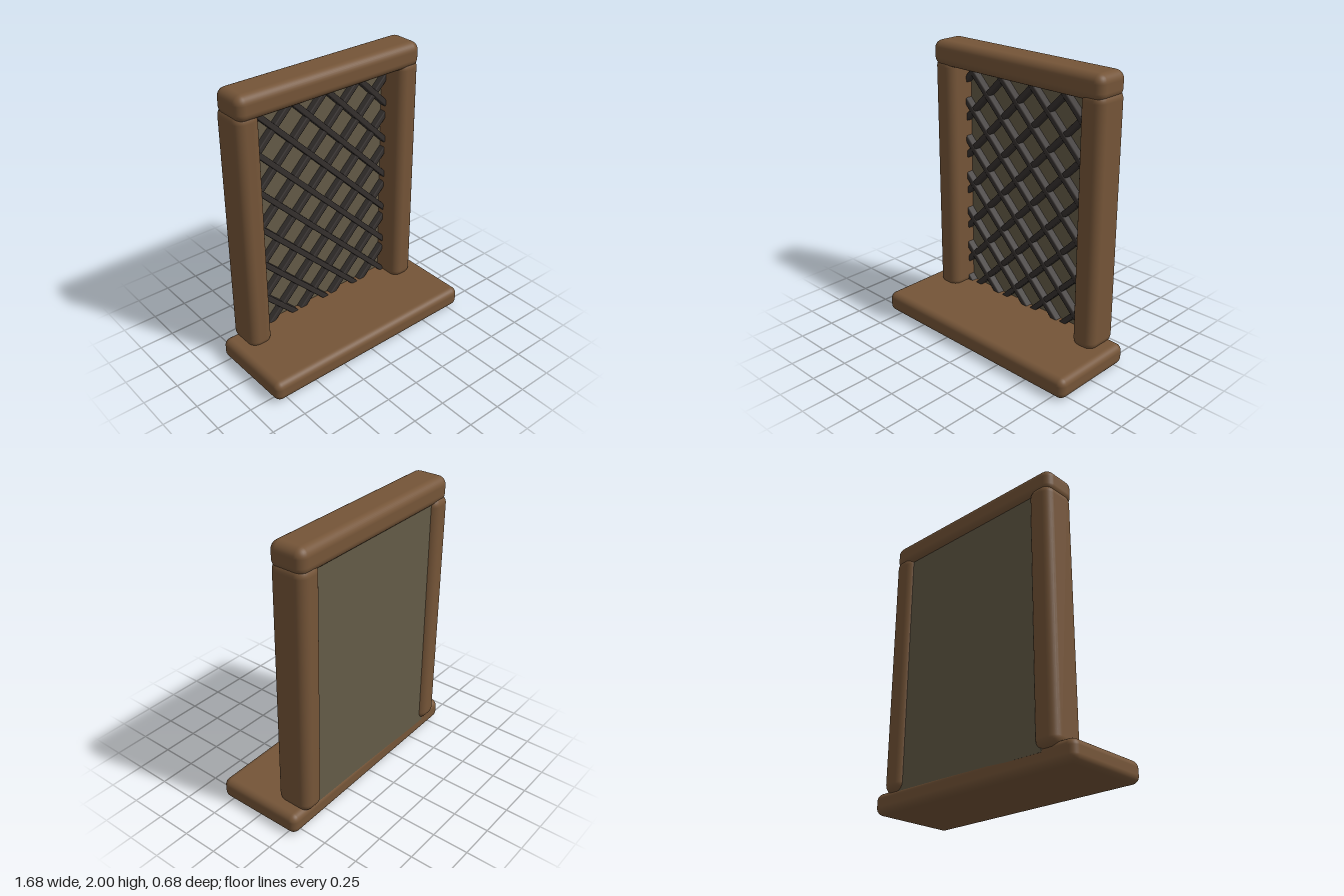
import * as THREE from 'three';
import { RoundedBoxGeometry } from 'three/addons/geometries/RoundedBoxGeometry.js';

const wood = new THREE.MeshStandardMaterial({ color: 0x755538 });
const panelMat = new THREE.MeshStandardMaterial({ color: 0x645b47 });
const latticeMat = new THREE.MeshStandardMaterial({ color: 0x35302e });

function block(name, size, radius, pos, rot, material = wood, segments = 4) {
  const mesh = new THREE.Mesh(new RoundedBoxGeometry(...size, segments, radius), material);
  mesh.name = name;
  mesh.position.set(...pos);
  mesh.rotation.set(...rot);
  return mesh;
}

// Diagonal bars clipped to the opening; slope +1 or -1, y = slope * x + c
function lattice(slope, offset, depth) {
  const group = new THREE.Group();
  group.name = slope > 0 ? 'risingBars' : 'fallingBars';
  const [x0, x1, y0, y1] = [-0.61, 0.6, 0.11, 1.86];
  const pitch = 0.278;
  for (let k = -9; k <= 9; k++) {
    const c = offset + k * pitch;
    const xa = (y0 - c) * slope, xb = (y1 - c) * slope;
    const a = Math.max(x0, Math.min(xa, xb)), b = Math.min(x1, Math.max(xa, xb));
    if (b - a < 0.05) continue;
    const mid = (a + b) / 2;
    group.add(block('latticeBar', [(b - a) * Math.SQRT2, 0.04, depth], 0.009,
      [mid, slope * mid + c, -0.305 + depth / 2], [0, 0, slope * Math.PI / 4], latticeMat, 1));
  }
  return group;
}

export function createModel() {
  const model = new THREE.Group();
  model.name = 'latticeScreen';

  // Slightly crooked wooden frame
  model.add(
    block('base', [1.68, 0.147, 0.64], 0.05, [-0.003, 0.082, 0.009], [0, 0.008, -0.007]),
    block('rightPost', [0.175, 1.76, 0.258], 0.065, [-0.653, 1.0, -0.211], [-0.002, 0, 0]),
    block('leftPost', [0.178, 1.76, 0.258], 0.065, [0.645, 1.0, -0.211], [-0.002, 0, 0.004]),
    block('topRail', [1.465, 0.176, 0.258], 0.06, [-0.005, 1.909, -0.205], [0, 0.007, -0.003]),
  );

  // Back panel close to the rear of the frame
  const panel = new THREE.Mesh(new THREE.BoxGeometry(1.22, 1.76, 0.03), panelMat);
  panel.name = 'backPanel';
  panel.position.set(-0.005, 0.99, -0.293);
  model.add(panel);

  // Crossed lattice in front of the panel
  model.add(lattice(1, 1.736, 0.075), lattice(-1, 1.55, 0.08));
  return model;
}
